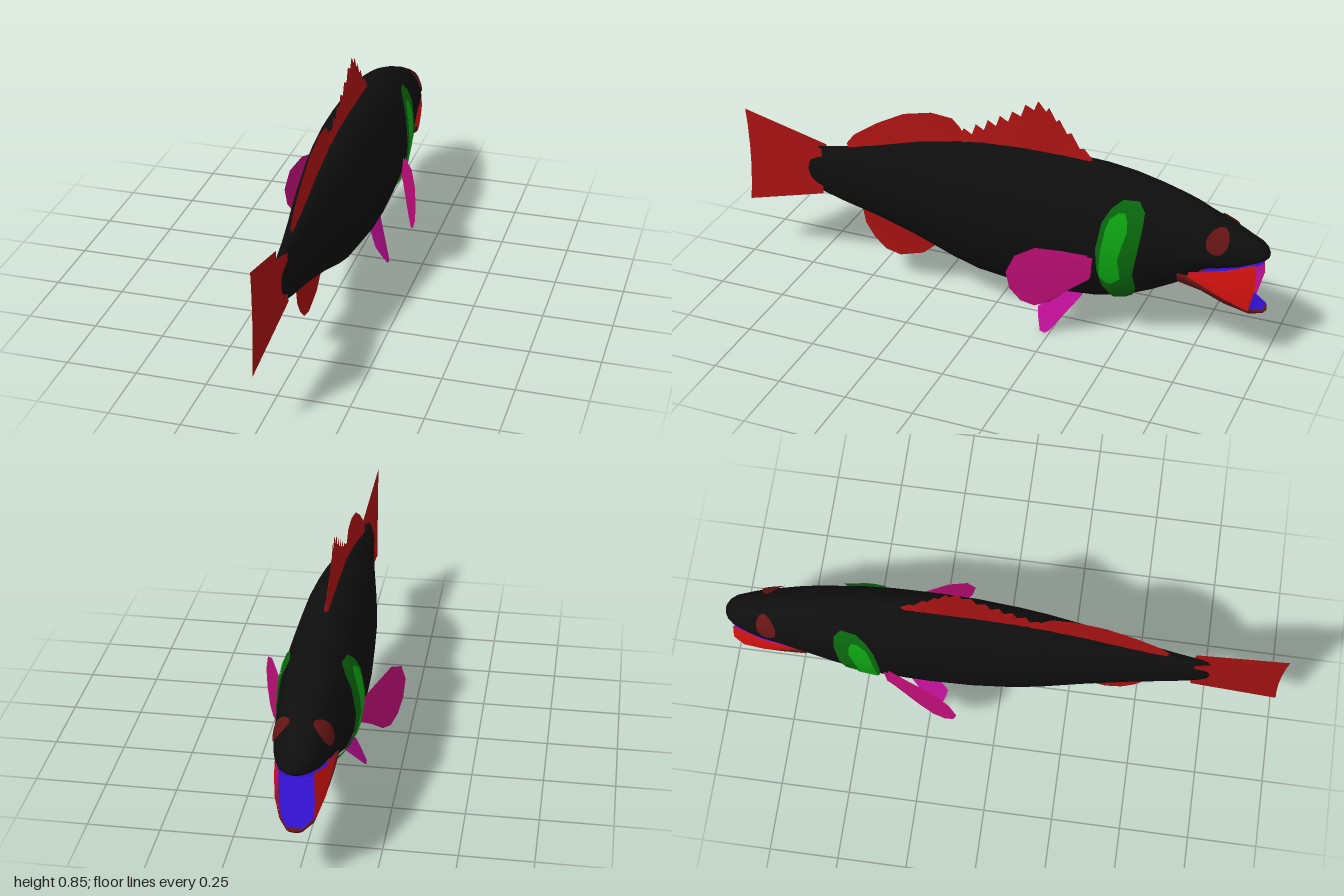
import * as THREE from 'three';

const { lerp } = THREE.MathUtils;
const paint = (name, color) => new THREE.MeshStandardMaterial({ name, color, side: THREE.DoubleSide });

// Body sections from snout (-z) to tail: z, top, bottom, half width, height of the widest point
const BODY = [
  [-0.997, 0.424, 0.424, 0, 0.424], [-0.994, 0.434, 0.414, 0.016, 0.424], [-0.983, 0.452, 0.408, 0.036, 0.424],
  [-0.96, 0.469, 0.399, 0.055, 0.42], [-0.9, 0.5, 0.376, 0.077, 0.41], [-0.85, 0.522, 0.362, 0.09, 0.41],
  [-0.78, 0.552, 0.342, 0.102, 0.41], [-0.73, 0.575, 0.29, 0.108, 0.42], [-0.68, 0.593, 0.255, 0.114, 0.42],
  [-0.6, 0.617, 0.21, 0.124, 0.41], [-0.5, 0.642, 0.162, 0.133, 0.4], [-0.4, 0.656, 0.138, 0.138, 0.395],
  [-0.25, 0.665, 0.122, 0.138, 0.392], [-0.1, 0.665, 0.124, 0.134, 0.394], [0.05, 0.655, 0.14, 0.121, 0.397],
  [0.15, 0.64, 0.168, 0.109, 0.404], [0.3, 0.61, 0.222, 0.085, 0.416], [0.45, 0.567, 0.265, 0.06, 0.416],
  [0.6, 0.525, 0.298, 0.037, 0.412], [0.7, 0.505, 0.325, 0.024, 0.415], [0.728, 0.485, 0.35, 0.021, 0.417],
  [0.745, 0.45, 0.385, 0.014, 0.417], [0.748, 0.417, 0.417, 0, 0.417],
];

// Lower jaw sections, same layout
const JAW = [
  [-0.999, 0.208, 0.208, 0, 0.208], [-0.99, 0.214, 0.2, 0.028, 0.212], [-0.945, 0.226, 0.195, 0.058, 0.225],
  [-0.86, 0.268, 0.22, 0.08, 0.266], [-0.78, 0.31, 0.258, 0.094, 0.308], [-0.7, 0.34, 0.275, 0.1, 0.335],
  [-0.69, 0.32, 0.32, 0, 0.32],
];

// Surface through rows of points; the normal is (row step) x (column step)
function grid(rows, closed = false) {
  const n = rows[0].length, index = [];
  for (let i = 0; i < rows.length - 1; i++) {
    for (let j = 0; j < (closed ? n : n - 1); j++) {
      const a = i * n + j, b = i * n + (j + 1) % n, c = a + n, d = b + n;
      index.push(a, c, b, c, d, b);
    }
  }
  const g = new THREE.BufferGeometry();
  g.setAttribute('position', new THREE.Float32BufferAttribute(rows.flat(2), 3));
  g.setIndex(index);
  g.computeVertexNormals();
  return g;
}

// Sixteen-sided rings through a section list
function loft(sections) {
  return grid(sections.map(([z, top, bottom, w, mid]) => Array.from({ length: 16 }, (_, j) => {
    const a = j / 16 * Math.PI * 2, c = Math.cos(a);
    return [w * Math.sin(a), mid + c * (c > 0 ? top - mid : mid - bottom), z];
  })), true);
}

// Point just above the body's side at the given height and z
function onBody(y, z, lift) {
  let i = 0;
  while (i < BODY.length - 2 && BODY[i + 1][0] < z) i++;
  const t = (z - BODY[i][0]) / (BODY[i + 1][0] - BODY[i][0]);
  const [, top, bottom, w, mid] = BODY[i].map((v, k) => lerp(v, BODY[i + 1][k], t));
  const h = y > mid ? top - mid : mid - bottom, u = (y - mid) / h;
  const x = w * Math.sqrt(Math.max(0, 1 - u * u));
  const nx = x / (w * w), ny = u / h, len = Math.hypot(nx, ny);
  return [x + lift * nx / len, y + lift * ny / len, z];
}

// Thin marking that hugs the body; rows are y, front z, back z
function patch(rows, lift, side) {
  return grid(rows.map(([y, z0, z1]) => {
    const row = Array.from({ length: 7 }, (_, j) => onBody(y, lerp(z0, z1, j / 6), lift));
    return mirror(row, side);
  }));
}
const mirror = (row, side) => (side > 0 ? row : row.map(([x, y, z]) => [-x, y, z]).reverse());

// Wedge fin: thick along the base line, sharp along the edge; points are [z, y]
function fin(from, to, edge, thick, sideways = () => 0) {
  const last = edge.length - 1;
  const face = s => edge.map(([ez, ey], i) => {
    const bz = lerp(from[0], to[0], i / last), by = lerp(from[1], to[1], i / last);
    return [0, 0.5, 1].map(t => {
      const z = lerp(bz, ez, t), y = lerp(by, ey, t);
      return [s * thick * (1 - t) + sideways(z, y), y, z];
    });
  });
  return [face(1), face(-1).map(r => r.reverse())].map(rows => grid(rows));
}

export function createModel() {
  const fish = new THREE.Group();
  fish.name = 'fish';
  const black = paint('body black', 0x0e0e0e), finRed = paint('fin red', 0xa81212);
  const mouthRed = paint('cheek red', 0xdd1410), darkRed = paint('dark red', 0x641414);
  const green = paint('bright green', 0x0da412), darkGreen = paint('dark green', 0x0a680d);
  const pink = paint('pectoral pink', 0xc00e78), purple = paint('pelvic purple', 0xbc0f94);
  const blue = paint('mouth blue', 0x3010c8);

  const add = (name, geometry, material, parent = fish) => {
    const mesh = new THREE.Mesh(geometry, material);
    mesh.name = name;
    parent.add(mesh);
  };
  const addFin = (name, faces, material) => {
    const group = new THREE.Group();
    group.name = name;
    faces.forEach((g, i) => add(name + (i ? 'RightFace' : 'LeftFace'), g, material, group));
    fish.add(group);
  };

  add('body', loft(BODY), black);
  add('lowerJaw', loft(JAW), darkRed);

  // Mouth lining: palate under the head, floor over the jaw
  const lining = (list, k, dy, reach) => list.filter(s => s[0] > -0.992 && s[0] < -0.73 && s[3] > 0)
    .map(s => [[-s[3] * reach, s[k] + dy, s[0]], [s[3] * reach, s[k] + dy, s[0]]]);
  add('palate', grid(lining(BODY, 2, -0.003, 0.85)), blue);
  add('mouthFloor', grid(lining(JAW, 1, 0.004, 0.9)), blue);

  // Serrated front dorsal fin: rises to a peak, then falls in steps
  const crest = new THREE.CatmullRomCurve3([[-0.355, 0.66], [-0.25, 0.768], [-0.165, 0.835], [-0.06, 0.775],
    [0.04, 0.72], [0.14, 0.665]].map(([z, y]) => new THREE.Vector3(0, y, z)));
  const spines = [];
  for (let i = 0; i <= 22; i++) {
    const p = crest.getPoint(i / 22);
    const tip = i % 2 === 1;
    spines.push([p.z + (tip ? 0.008 : 0), p.y + (tip ? 0.012 : i % 22 ? -0.018 : 0)]);
  }
  addFin('spinyDorsalFin', fin([-0.35, 0.645], [0.13, 0.63], spines, 0.011), finRed);
  addFin('softDorsalFin', fin([0.12, 0.63], [0.57, 0.515],
    [[0.12, 0.65], [0.14, 0.69], [0.17, 0.72], [0.25, 0.727], [0.357, 0.702], [0.463, 0.645], [0.555, 0.582],
      [0.587, 0.54]], 0.01), finRed);
  addFin('analFin', fin([0.235, 0.26], [0.53, 0.31],
    [[0.23, 0.2], [0.29, 0.146], [0.383, 0.117], [0.44, 0.13], [0.485, 0.17], [0.52, 0.225], [0.53, 0.275]],
    0.01), finRed);
  addFin('tailFin', fin([0.68, 0.507], [0.68, 0.323],
    [[0.998, 0.602], [0.992, 0.54], [0.988, 0.45], [0.988, 0.37], [0.992, 0.29], [0.998, 0.226]], 0.02), finRed);

  // Paired parts on both sides
  const gill = [[0.177, -0.505, -0.464], [0.2, -0.535, -0.458], [0.247, -0.555, -0.437], [0.316, -0.55, -0.424],
    [0.4, -0.566, -0.42], [0.5, -0.58, -0.437], [0.55, -0.58, -0.465], [0.58, -0.555, -0.5]];
  const gillCore = [[0.262, -0.475, -0.455], [0.29, -0.507, -0.432], [0.37, -0.5, -0.436], [0.42, -0.512, -0.443],
    [0.477, -0.528, -0.452], [0.515, -0.526, -0.464], [0.54, -0.515, -0.495]];
  const eye = Array.from({ length: 11 }, (_, k) => {
    const a = k / 10 * Math.PI, dz = 0.037 * Math.sin(a);
    return [0.478 - 0.04 * Math.cos(a), -0.832 - dz, -0.832 + dz];
  });
  const cheek = [
    [[0.09, 0.33, -0.735], [0.092, 0.338, -0.738], [0.094, 0.35, -0.74]],
    [[0.081, 0.268, -0.86], [0.088, 0.32, -0.86], [0.085, 0.376, -0.86]],
    [[0.058, 0.222, -0.945], [0.066, 0.315, -0.968], [0.06, 0.408, -0.962]],
  ];
  const inset = cheek.map(r => r.map(([x, y, z]) => [x - 0.005, y, z]));

  for (const [label, s] of [['left', 1], ['right', -1]]) {
    add(label + 'GillBand', patch(gill, 0.007, s), darkGreen);
    add(label + 'GillCore', patch(gillCore, 0.0095, s), green);
    add(label + 'Eye', patch(eye, 0.006, s), darkRed);
    // Cheek rows run forward, so their columns climb to face outward
    const outward = rows => grid(rows.map(r => mirror([...r].reverse(), s)).reverse().map(r => [...r].reverse()));
    add(label + 'Cheek', outward(cheek), mouthRed);
    add(label + 'CheekLining', outward(inset), purple);
    addFin(label + 'PectoralFin', fin([-0.41, 0.355], [-0.4, 0.27],
      [[-0.31, 0.382], [-0.225, 0.396], [-0.16, 0.365], [-0.132, 0.3], [-0.145, 0.235], [-0.18, 0.185],
        [-0.225, 0.163], [-0.275, 0.178], [-0.33, 0.23]], 0.006, z => s * (0.135 + (z + 0.4) * 0.42)), pink);
    addFin(label + 'PelvicFin', fin([-0.35, 0.15], [-0.26, 0.145],
      [[-0.25, 0.012], [-0.235, 0.001], [-0.215, 0.005], [-0.198, 0.05], [-0.192, 0.078]],
      0.012, (z, y) => s * (0.046 + (0.145 - y) * 0.555)), purple);
  }
  return fish;
}
